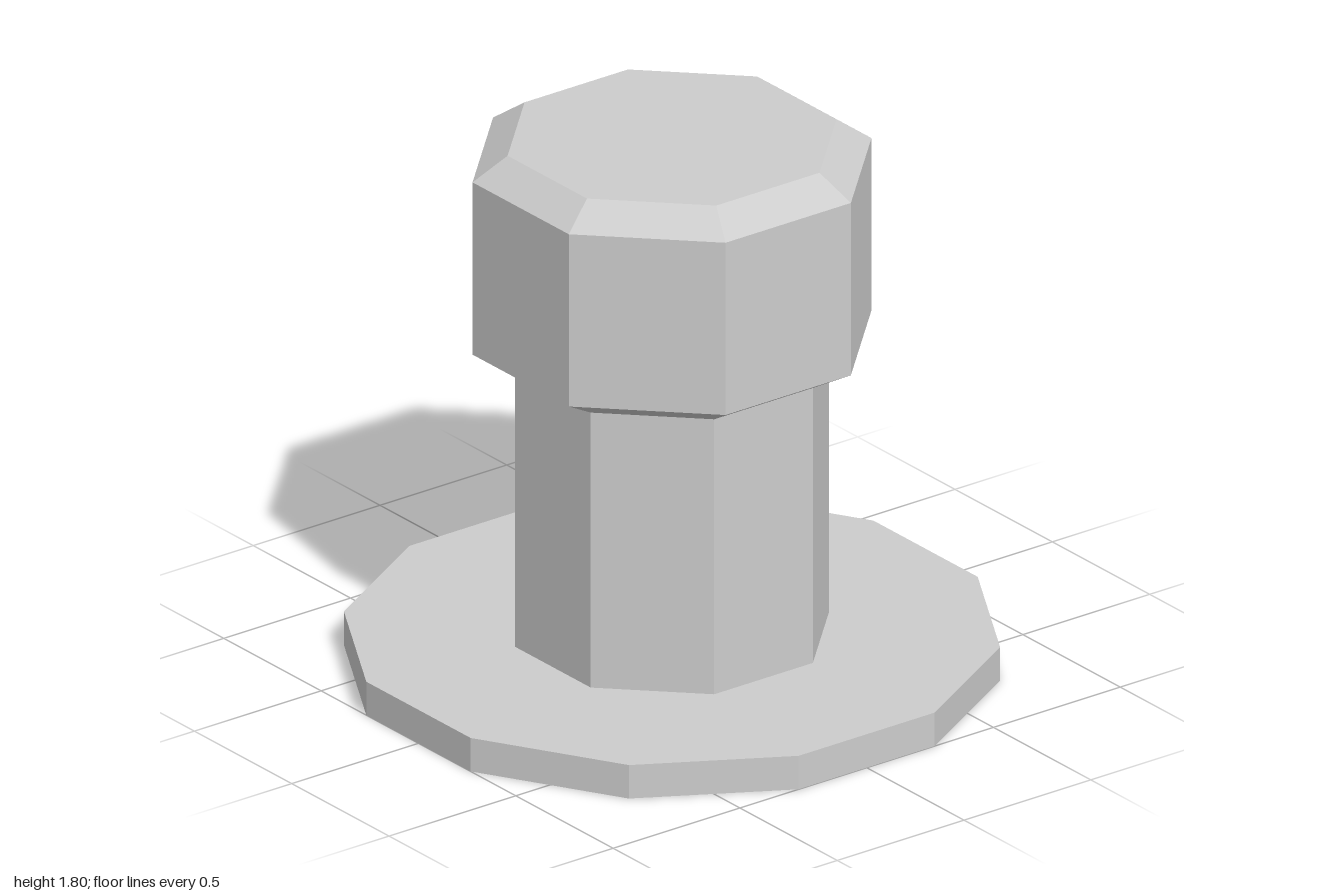
import * as THREE from 'three';

// Faceted solid of revolution; profile radii are measured to the flats, bottom to top
function facetedSolid(name, profile, sides, material) {
  const toCorner = 1 / Math.cos(Math.PI / sides);
  const points = profile.map(([r, y]) => new THREE.Vector2(r * toCorner, y));
  const lathe = new THREE.LatheGeometry(points, sides, Math.PI / sides);
  const geometry = lathe.toNonIndexed();
  geometry.computeVertexNormals();
  const mesh = new THREE.Mesh(geometry, material);
  mesh.name = name;
  return mesh;
}

export function createModel() {
  const group = new THREE.Group();
  group.name = 'flangedPost';
  const grey = new THREE.MeshStandardMaterial({ color: 0xcccccc, flatShading: true });
  grey.name = 'light grey';

  // Twelve-sided base plate
  group.add(facetedSolid('basePlate', [[0, 0], [1, 0], [1, 0.115], [0, 0.115]], 12, grey));

  // Octagonal shaft, running into the head
  group.add(facetedSolid('shaft', [[0.47, 0.115], [0.47, 1.06]], 8, grey));

  // Octagonal head with chamfered top and bottom
  group.add(facetedSolid('head', [
    [0.47, 1.06], [0.597, 1.135], [0.597, 1.727], [0.492, 1.805], [0, 1.805],
  ], 8, grey));

  return group;
}
